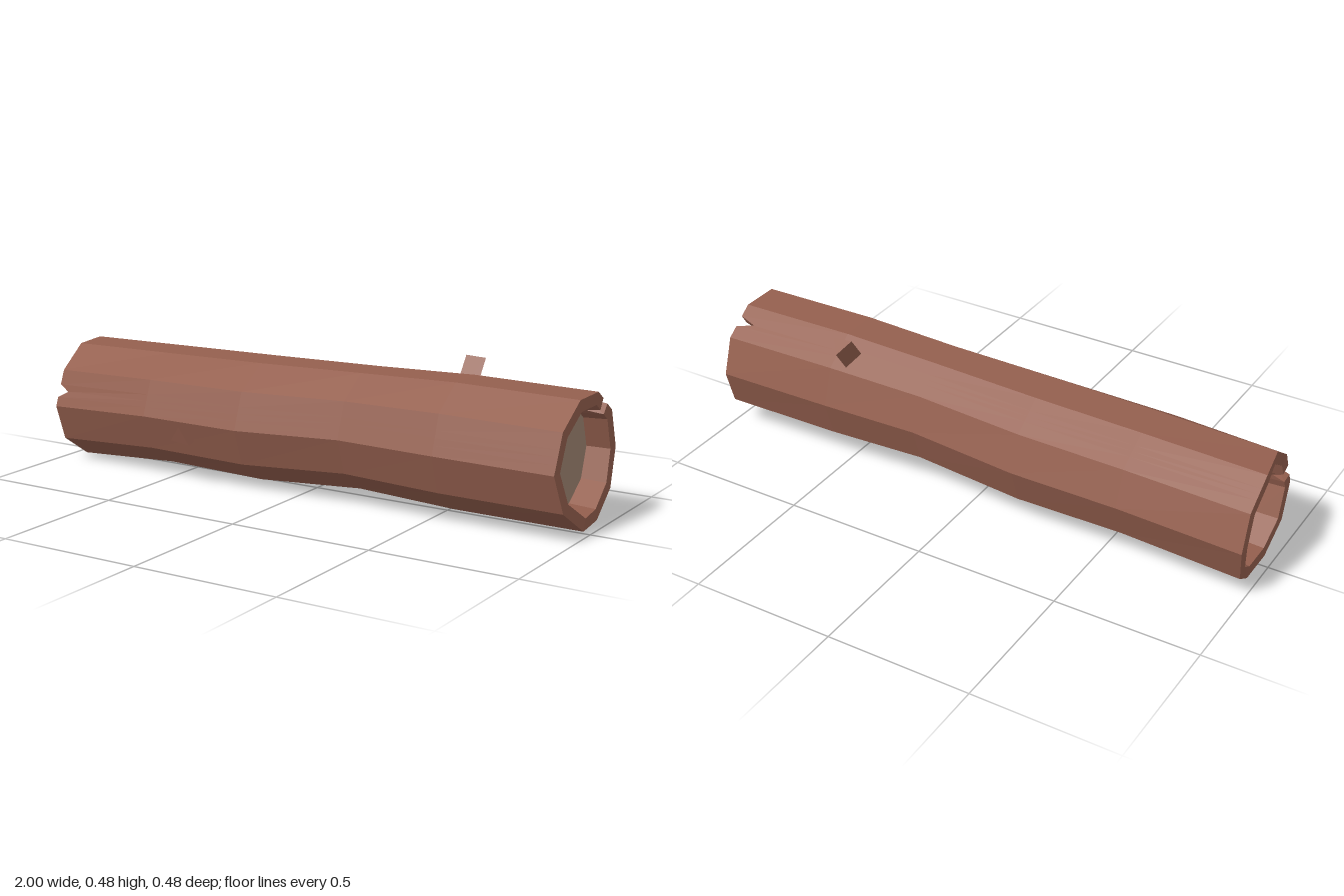
import * as THREE from 'three';

const bark = new THREE.MeshStandardMaterial({ color: 0x945f4e, flatShading: true });
const wood = new THREE.MeshStandardMaterial({ color: 0xa08572, flatShading: true });

// Cross-sections along the log: x, centre y, centre z, radius y, radius z
const sections = [
  [-0.98, 0.203, -0.017, 0.213, 0.222],
  [-0.57, 0.219, -0.012, 0.205, 0.228],
  [-0.19, 0.218, -0.012, 0.213, 0.227],
  [0.2, 0.235, -0.013, 0.205, 0.208],
  [0.55, 0.233, -0.013, 0.218, 0.218],
  [0.98, 0.23, -0.015, 0.216, 0.22],
];
const SIDES = 10;
const CAP_X = 0.895;

// Uneven sawn ends: x at each corner, counted from the front over the top
const leftX = [-0.97, -0.965, -0.975, -1, -1, -1, -0.985, -0.965, -0.965, -0.97];
const rightX = [0.965, 0.97, 0.975, 0.975, 0.975, 0.975, 0.98, 0.985, 1, 0.98];

// Positions round the ring: the ten corners plus three points for each notch
const leftNotch = [0.25, 0.43, 0.6];
const rightNotch = [3.35, 3.5, 3.65];
const ringU = [...Array(SIDES).keys(), ...leftNotch, ...rightNotch].sort((a, b) => a - b);

const lerpCorners = (u, f) => {
  const k = Math.floor(u);
  return THREE.MathUtils.lerp(f(k % SIDES), f((k + 1) % SIDES), u - k);
};

// One ring of points; xAt gives x for a position on the ring
function ring([, cy, cz, ry, rz], scale, xAt) {
  const step = (Math.PI * 2) / SIDES;
  return ringU.map((u) => new THREE.Vector3(
    xAt(u),
    cy + scale * ry * lerpCorners(u, (k) => Math.sin(k * step)),
    cz + scale * rz * lerpCorners(u, (k) => Math.cos(k * step)),
  ));
}

function meshFrom(points, name, material) {
  const geometry = new THREE.BufferGeometry().setFromPoints(points);
  geometry.computeVertexNormals();
  const mesh = new THREE.Mesh(geometry, material);
  mesh.name = name;
  return mesh;
}

// Three-sided stub of a branch ending at tip
function twig(name, tip, direction, length, radius, turn) {
  const geometry = new THREE.CylinderGeometry(radius, radius, length, 3, 1, false, Math.PI + turn);
  geometry.translate(0, -length / 2, 0);
  const mesh = new THREE.Mesh(geometry, bark);
  mesh.name = name;
  mesh.position.set(...tip);
  mesh.quaternion.setFromUnitVectors(
    new THREE.Vector3(0, 1, 0), new THREE.Vector3(...direction).normalize());
  return mesh;
}

export function createModel() {
  const log = new THREE.Group();
  log.name = 'hollowLog';

  // Bark: from the left recess, over the left rim, along the log, into the right recess
  const endLeft = (u) => lerpCorners(u, (k) => leftX[k]) + (u === leftNotch[1] ? 0.04 : 0);
  const endRight = (u) => lerpCorners(u, (k) => rightX[k]) - (u === rightNotch[1] ? 0.065 : 0);
  const first = sections[0];
  const last = sections[sections.length - 1];
  const rings = [
    ring(first, 0.785, () => -CAP_X),
    ring(first, 0.81, endLeft),
    ring(first, 1, endLeft),
    ...sections.slice(1, -1).map((s) => ring(s, 1, () => s[0])),
    ring(last, 1, endRight),
    ring(last, 0.81, endRight),
    ring(last, 0.785, () => CAP_X),
  ];
  const n = ringU.length;
  const points = [];
  for (let i = 0; i + 1 < rings.length; i++) {
    for (let j = 0; j < n; j++) {
      const k = (j + 1) % n;
      const [a, b, c, d] = [rings[i][j], rings[i + 1][j], rings[i + 1][k], rings[i][k]];
      points.push(a, b, c, a, c, d);
    }
  }
  log.add(meshFrom(points, 'bark', bark));

  // Pale wood set back inside both ends
  for (const [name, edge, section, x] of [
    ['leftEndWood', rings[0], first, -CAP_X],
    ['rightEndWood', rings[rings.length - 1], last, CAP_X],
  ]) {
    const centre = new THREE.Vector3(x, section[1], section[2]);
    const fan = [];
    edge.forEach((p, j) => {
      const q = edge[(j + 1) % n];
      fan.push(centre, ...(x < 0 ? [p, q] : [q, p]));
    });
    log.add(meshFrom(fan, name, wood));
  }

  // Broken twigs
  log.add(twig('backTwig', [0.5, 0.468, -0.192], [0, 0.82, -0.57], 0.16, 0.04, 0.1));
  log.add(twig('frontTwig', [-0.408, 0.168, 0.229], [0, -0.31, 0.95], 0.08, 0.043, -0.15));
  return log;
}
